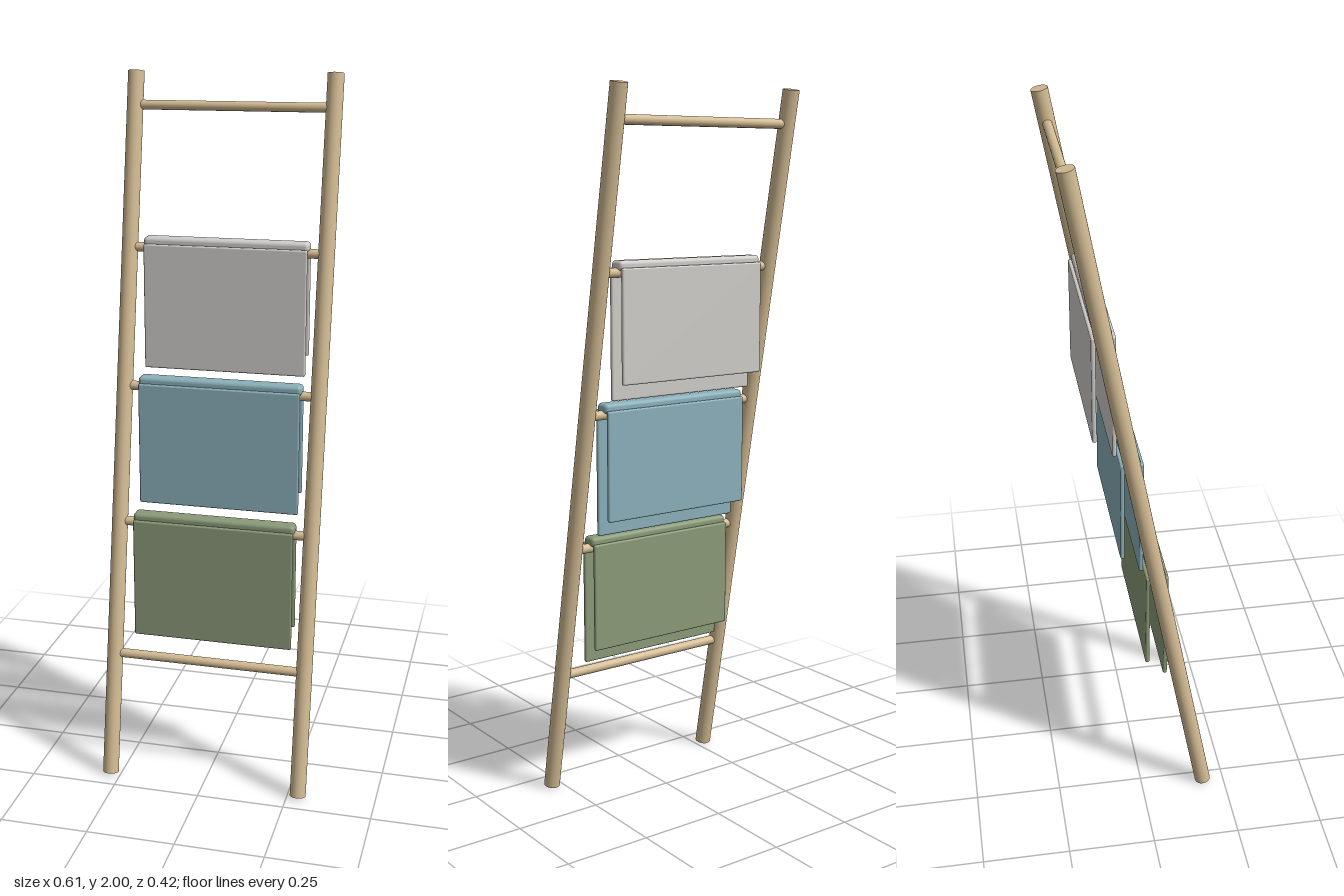
import * as THREE from 'three';
import { RoundedBoxGeometry } from 'three/addons/geometries/RoundedBoxGeometry.js';

const TILT = 0.186;
const leanZ = (y) => (1 - y) * Math.tan(TILT); // depth of the leaning plane at a height

function addMesh(parent, name, geometry, material, x, y, z) {
  const mesh = new THREE.Mesh(geometry, material);
  mesh.name = name;
  mesh.position.set(x, y, z);
  parent.add(mesh);
  return mesh;
}

// Towel folded over a rung: long front flap, shorter back flap, rounded fold on top
function createTowel(name, color, rungY) {
  const towel = new THREE.Group();
  towel.name = name;
  towel.position.set(0, rungY, leanZ(rungY));
  const cloth = new THREE.MeshStandardMaterial({ color });
  const flap = (label, bottom, z) => {
    const top = 0.013;
    const geometry = new RoundedBoxGeometry(0.466, top - bottom, 0.012, 3, 0.005);
    addMesh(towel, label, geometry, cloth, 0, (top + bottom) / 2, z);
  };
  flap('frontFlap', -0.342, 0.026);
  flap('backFlap', -0.294, -0.026);
  addMesh(towel, 'fold', new RoundedBoxGeometry(0.47, 0.028, 0.046, 4, 0.011), cloth, 0, 0.018, 0);
  return towel;
}

export function createModel() {
  const ladder = new THREE.Group();
  ladder.name = 'towelLadder';
  const wood = new THREE.MeshStandardMaterial({ color: 0xd4bc94 });

  // Leaning side rails
  const railGeometry = new THREE.CylinderGeometry(0.023, 0.023, 2.026, 24);
  for (const [name, x] of [['leftRail', 0.281], ['rightRail', -0.281]]) {
    addMesh(ladder, name, railGeometry, wood, x, 1, 0).rotation.x = -TILT;
  }

  // Rungs
  const rungGeometry = new THREE.CylinderGeometry(0.0132, 0.0132, 0.54, 20).rotateZ(Math.PI / 2);
  const rungHeights = [0, 1, 2, 3, 4].map((i) => 0.361 + i * 0.386);
  rungHeights.forEach((y, i) => {
    addMesh(ladder, `rung${i + 1}`, rungGeometry, wood, 0, y, leanZ(y));
  });

  // Towels on the three middle rungs
  ladder.add(
    createTowel('greenTowel', 0x8a9a78, rungHeights[1]),
    createTowel('blueTowel', 0x8ab0ba, rungHeights[2]),
    createTowel('greyTowel', 0xcfcdc9, rungHeights[3]),
  );
  return ladder;
}
